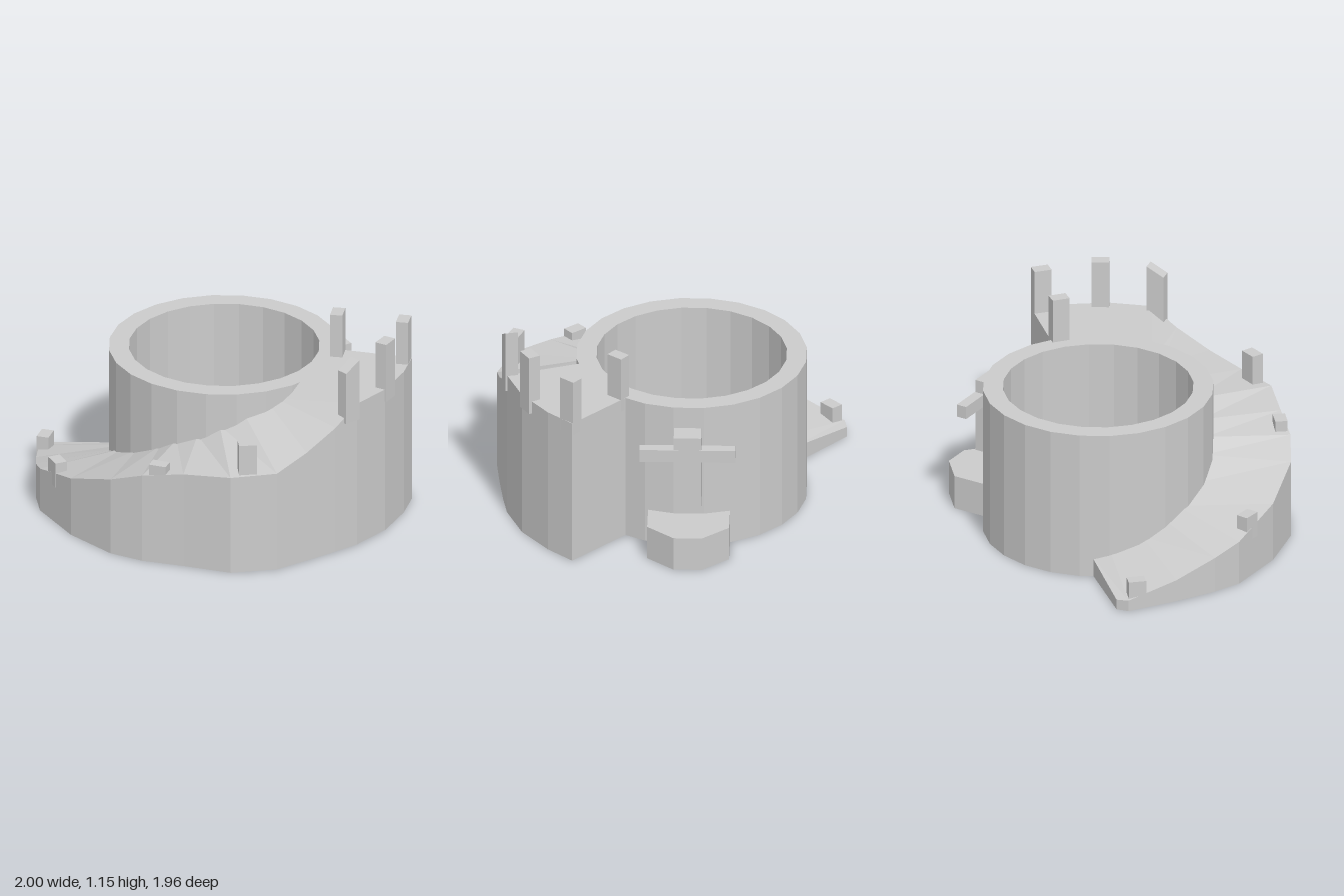
import * as THREE from 'three';

const CX = 0.0625, CZ = -0.13; // tower axis

export function createModel() {
  const model = new THREE.Group();
  const mat = new THREE.MeshStandardMaterial({ color: 0xcccccc, flatShading: true });
  const add = (name, geo, x = 0, y = 0, z = 0) => {
    const mesh = new THREE.Mesh(geo, mat);
    mesh.name = name;
    mesh.position.set(x, y, z);
    model.add(mesh);
    return mesh;
  };

  // Hollow round tower
  const wall = [[0.65, 0], [0.65, 0.875], [0.537, 0.875], [0.537, 0], [0.65, 0]];
  add('tower', new THREE.LatheGeometry(wall.map(p => new THREE.Vector2(...p)), 24, Math.PI / 24), CX, 0, CZ);

  // Spiral ramp sections: outer x, outer z, outer height, inner angle (degrees), inner height
  const sections = [
    [-0.59, -0.985, 0.06, 242, 0.11],
    [-0.66, -0.97, 0.065, 232, 0.14],
    [-0.82, -0.72, 0.13, 214, 0.2],
    [-0.94, -0.5, 0.21, 200, 0.27],
    [-1, -0.34, 0.26, 190, 0.32],
    [-1, 0.02, 0.35, 173, 0.39],
    [-0.92, 0.34, 0.46, 155, 0.48],
    [-0.81, 0.51, 0.53, 145, 0.54],
    [-0.64, 0.68, 0.57, 133, 0.59],
    [-0.45, 0.885, 0.59, 121, 0.66],
    [-0.2, 0.97, 0.595, 108, 0.73],
    [0, 0.95, 0.67, 94, 0.77],
    [0.2, 0.925, 0.77, 89, 0.79],
    [0.35, 0.9, 0.875, 78, 0.875],
    [0.58, 0.81, 0.875, 62, 0.875],
    [0.78, 0.66, 0.875, 48, 0.875],
    [0.91, 0.52, 0.875, 33, 0.875],
  ];
  const pos = [], idx = [];
  for (const [ox, oz, oy, deg, iy] of sections) {
    const a = THREE.MathUtils.degToRad(deg);
    const ix = CX + 0.6 * Math.cos(a), iz = CZ + 0.6 * Math.sin(a);
    pos.push(ox, 0, oz, ix, 0, iz, ix, iy, iz, ox, oy, oz);
  }
  const last = (sections.length - 1) * 4;
  for (let s = 0; s < last; s += 4) {
    for (let k = 0; k < 4; k++) {
      const p = s + k, q = s + (k + 1) % 4;
      idx.push(p, q, q + 4, p, q + 4, p + 4);
    }
  }
  idx.push(0, 2, 1, 0, 3, 2, last, last + 1, last + 2, last, last + 2, last + 3);
  const ramp = new THREE.BufferGeometry();
  ramp.setAttribute('position', new THREE.Float32BufferAttribute(pos, 3));
  ramp.setIndex(idx);
  ramp.computeVertexNormals();
  add('spiralRamp', ramp);

  // Posts along the ramp: x, z, bottom, top, slant of the top
  const posts = [
    [-0.665, -0.895, 0.03, 0.17, 0],
    [-0.965, -0.2, 0.22, 0.37, 0],
    [-0.72, 0.545, 0.45, 0.6, 0],
    [-0.335, 0.87, 0.55, 0.775, 0],
    [0.305, 0.885, 0.78, 1.12, 0.055],
    [0.605, 0.765, 0.8, 1.155, 0],
    [0.85, 0.53, 0.8, 1.135, 0],
    [0.57, 0.27, 0.8, 1.135, 0],
  ];
  for (const [x, z, y0, y1, slant] of posts) {
    const geo = new THREE.BoxGeometry(0.1, y1 - y0, 0.07);
    const p = geo.attributes.position;
    for (let i = 0; i < p.count; i++) {
      if (p.getY(i) > 0) p.setY(i, p.getY(i) + slant * p.getX(i) / 0.1);
    }
    add('rampPost', geo, x, (y0 + y1) / 2, z).rotation.y = Math.atan2(x - CX, z - CZ);
  }

  // Low faceted pedestal on the side of the tower
  const outline = [[0.64, -0.1], [0.87, -0.1], [1, 0.05], [1, 0.21], [0.87, 0.36], [0.64, 0.36]];
  const pedestal = new THREE.ExtrudeGeometry(
    new THREE.Shape(outline.map(p => new THREE.Vector2(...p))), { depth: 0.2, bevelEnabled: false });
  pedestal.rotateX(-Math.PI / 2);
  add('pedestal', pedestal);

  // Cross standing out from the wall
  add('crossUpright', new THREE.BoxGeometry(0.17, 0.435, 0.155), 0.745, 0.5275, -0.125);
  add('crossBar', new THREE.BoxGeometry(0.062, 0.075, 0.54), 0.802, 0.6325, -0.125);

  return model;
}
